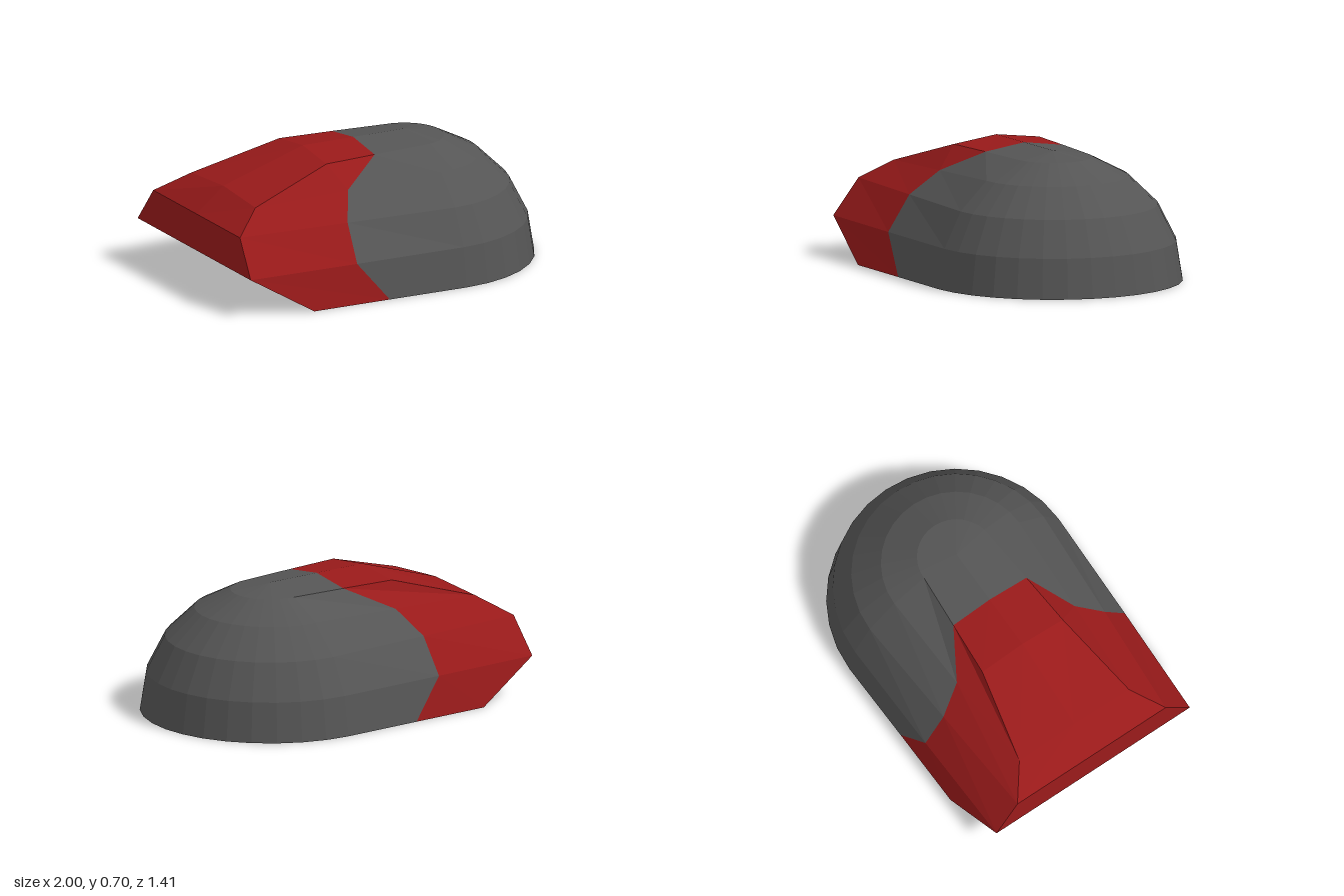
import * as THREE from 'three';

const SEGMENTS = 16; // facets around the half-round nose
const NOSE_X = 0.295;

// One entry per level, bottom to top: nose radius and height,
// then the seam and tail corners [x, y, z] and the tail's centre height.
const LEVELS = [
  { r: 0.705, y: 0, seam: [-0.175, 0, 0.694], tail: [-0.635, 0, 0.685], mid: 0 },
  { r: 0.67, y: 0.218, seam: [-0.355, 0.218, 0.655], tail: [-1, 0.218, 0.635], mid: 0.218 },
  { r: 0.57, y: 0.415, seam: [-0.345, 0.415, 0.53], tail: [-0.985, 0.415, 0.487], mid: 0.415 },
  { r: 0.41, y: 0.57, seam: [-0.265, 0.548, 0.387], tail: [-0.82, 0.525, 0.36], mid: 0.55 },
  { r: 0.215, y: 0.67, seam: [-0.02, 0.672, 0.24], tail: [-0.33, 0.672, 0.264], mid: 0.705 },
  { r: 0, y: 0.705, seam: [-0.02, 0.705, 0], tail: [-0.33, 0.705, 0], mid: 0.705 },
];

// Horizontal outline of a level: back tail, round the nose, front tail
function outline({ r, y, seam, tail }) {
  const mirror = ([x, h, z]) => [x, h, -z];
  const points = [mirror(tail), mirror(seam)];
  for (let i = 0; i <= SEGMENTS; i++) {
    const a = -Math.PI / 2 + (Math.PI * i) / SEGMENTS;
    points.push([NOSE_X + r * Math.cos(a), y, r * Math.sin(a)]);
  }
  points.push(seam, tail);
  return points;
}

const same = (p, q) => p.every((v, i) => Math.abs(v - q[i]) < 1e-6);

function tri(out, a, b, c) {
  if (!same(a, b) && !same(b, c) && !same(a, c)) out.push(...a, ...b, ...c);
}

function quad(out, a, b, c, d) {
  tri(out, a, b, c);
  tri(out, a, c, d);
}

function makeMesh(name, positions, color) {
  const geometry = new THREE.BufferGeometry();
  geometry.setAttribute('position', new THREE.Float32BufferAttribute(positions, 3));
  geometry.computeVertexNormals();
  const mesh = new THREE.Mesh(geometry, new THREE.MeshStandardMaterial({ color, flatShading: true }));
  mesh.name = name;
  return mesh;
}

export function createModel() {
  const group = new THREE.Group();
  group.name = 'roundedShell';
  const rings = LEVELS.map(outline);
  const last = rings[0].length - 1;
  const shell = [], tail = [], base = [];

  // Side walls and roof: the end columns belong to the tail
  for (let i = 0; i < rings.length - 1; i++) {
    for (let j = 0; j < last; j++) {
      const out = j === 0 || j === last - 1 ? tail : shell;
      quad(out, rings[i][j], rings[i + 1][j], rings[i + 1][j + 1], rings[i][j + 1]);
    }
  }

  // Tail end: undercut, blunt edge and sloping ridged top
  const centre = LEVELS.map(({ tail: t, mid }) => [t[0], mid, 0]);
  for (let i = 0; i < rings.length - 2; i++) {
    quad(tail, rings[i][0], centre[i], centre[i + 1], rings[i + 1][0]);
    quad(tail, centre[i], rings[i][last], rings[i + 1][last], centre[i + 1]);
  }

  // Flat underside
  for (let j = 0; j <= last; j++) {
    tri(base, [0, 0, 0], rings[0][j], rings[0][(j + 1) % (last + 1)]);
  }

  group.add(
    makeMesh('domedShell', shell, 0x555555),
    makeMesh('wedgeTail', tail, 0x991a1a),
    makeMesh('underside', base, 0x555555),
  );
  return group;
}
